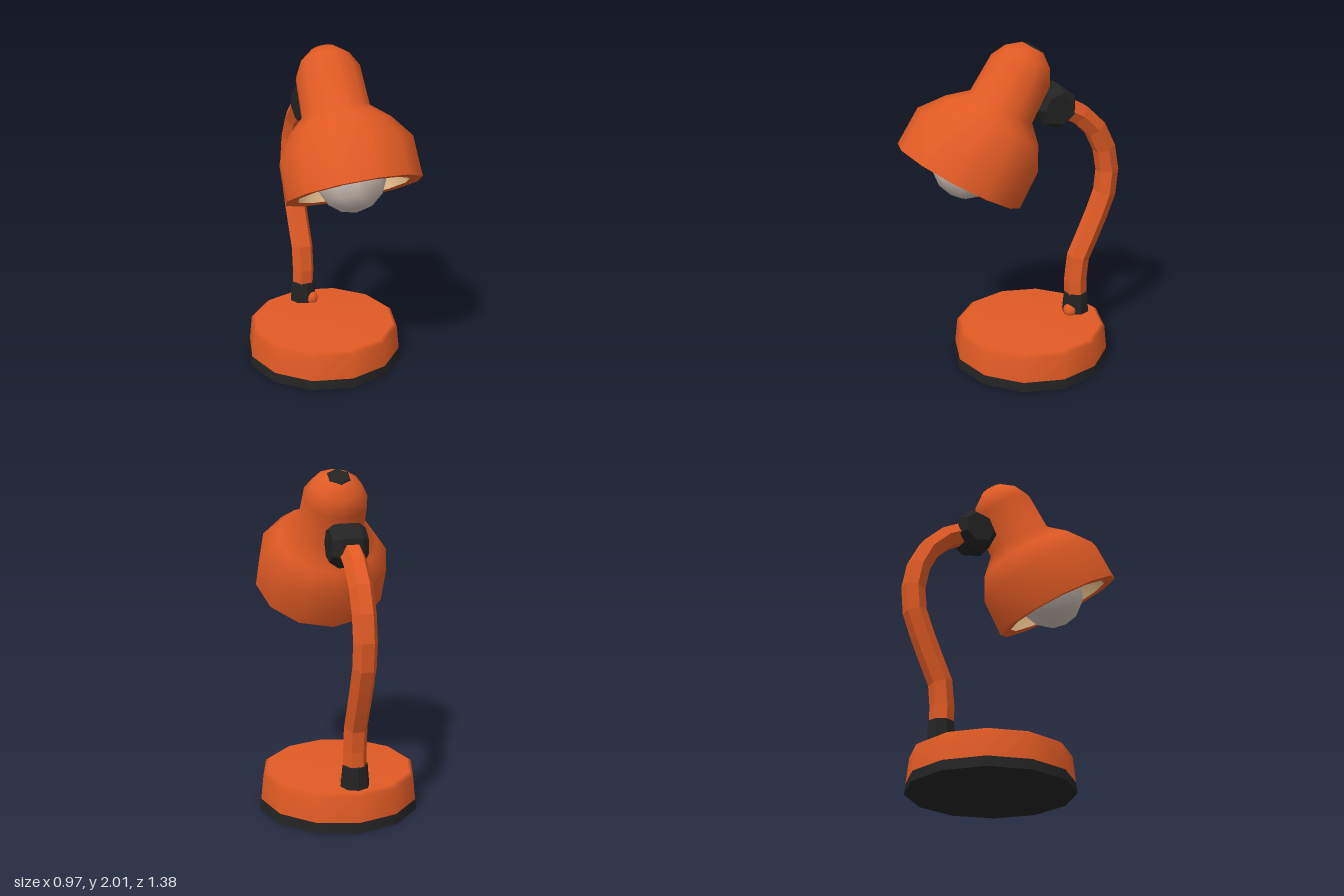
import * as THREE from 'three';

const mat = (name, color) => {
  const m = new THREE.MeshStandardMaterial({ color });
  m.name = name;
  return m;
};

// Low-poly turned part from [radius, height] pairs (upward = outward facing)
const lathe = (pts, sides) =>
  new THREE.LatheGeometry(pts.map(([r, y]) => new THREE.Vector2(r, y)), sides);

const faceted = (geo) => {
  const g = geo.toNonIndexed();
  g.computeVertexNormals();
  return g;
};

export function createModel() {
  const orange = mat('orange paint', 0xe05a24);
  const black = mat('black plastic', 0x232323);
  const cream = mat('cream lining', 0xe0b987);
  const glass = mat('bulb glass', 0xc8bab0);

  const model = new THREE.Group();
  model.name = 'deskLamp';
  const add = (parent, name, geo, material, x = 0, y = 0, z = 0) => {
    const mesh = new THREE.Mesh(geo, material);
    mesh.name = name;
    mesh.position.set(x, y, z);
    parent.add(mesh);
    return mesh;
  };

  // Round base with a black foot
  add(model, 'baseFootSide', lathe([[0.483, 0], [0.476, 0.06]], 12), black, 0, 0, -0.11);
  add(model, 'baseUnderside', lathe([[0, 0], [0.483, 0]], 12), black, 0, 0, -0.11);
  add(model, 'baseBody', lathe([[0.476, 0.06], [0.46, 0.212], [0.435, 0.228], [0, 0.232]], 12),
    orange, 0, 0, -0.11);

  // Collar where the arm meets the base, with a small switch
  add(model, 'armCollar', faceted(new THREE.CylinderGeometry(0.075, 0.087, 0.14, 8)), black, -0.015, 0.29, -0.43);
  add(model, 'switchButton', new THREE.SphereGeometry(0.045, 8, 6), orange, 0.02, 0.25, -0.375);

  // Bent arm
  const path = new THREE.CatmullRomCurve3([
    [0.3, -0.43], [0.57, -0.435], [0.78, -0.525], [1.05, -0.623],
    [1.26, -0.61], [1.42, -0.54], [1.53, -0.43], [1.6, -0.3],
  ].map(([y, z]) => new THREE.Vector3(-0.015, y, z)));
  add(model, 'arm', faceted(new THREE.TubeGeometry(path, 10, 0.07, 6)), orange);

  // Pivot joint, its axle running sideways
  const joint = add(model, 'pivotJoint',
    faceted(lathe([[0, -0.11], [0.095, -0.11], [0.13, -0.06], [0.13, 0.06], [0.095, 0.1], [0, 0.1]], 7)),
    black, -0.015, 1.61, -0.25);
  joint.rotation.z = Math.PI / 2;

  // Tilted lamp head; local y runs from the rim up to the cap
  const head = new THREE.Group();
  head.name = 'lampHead';
  head.position.set(0, 1.265, 0.35);
  head.rotation.x = -0.542;
  model.add(head);

  // Shade, with its neck set slightly back from the rim's axis
  const shade = lathe([
    [0.397, 0], [0.39, 0.235], [0.3, 0.372], [0.2, 0.465],
    [0.19, 0.7], [0.145, 0.785], [0.068, 0.845], [0, 0.848],
  ], 12);
  const p = shade.attributes.position;
  for (let i = 0; i < p.count; i++) {
    const t = THREE.MathUtils.smoothstep(p.getY(i), 0.24, 0.46);
    p.setZ(i, p.getZ(i) - 0.033 * t);
  }
  add(head, 'shade', shade, orange);
  add(head, 'shadeRim', lathe([[0.325, 0.004], [0.397, 0]], 12), orange);
  add(head, 'shadeLining', lathe([[0, 0.44], [0.16, 0.43], [0.28, 0.34], [0.35, 0.2], [0.325, 0.004]], 12), cream);
  add(head, 'shadeCap', new THREE.CylinderGeometry(0.06, 0.072, 0.009, 6), black, 0, 0.849, -0.033);

  // Bulb and its socket
  add(head, 'bulb', new THREE.SphereGeometry(0.205, 9, 7), glass, 0, 0.085, -0.01);
  add(head, 'bulbSocket', new THREE.CylinderGeometry(0.08, 0.1, 0.2, 9), glass, 0, 0.33, -0.01);

  return model;
}
